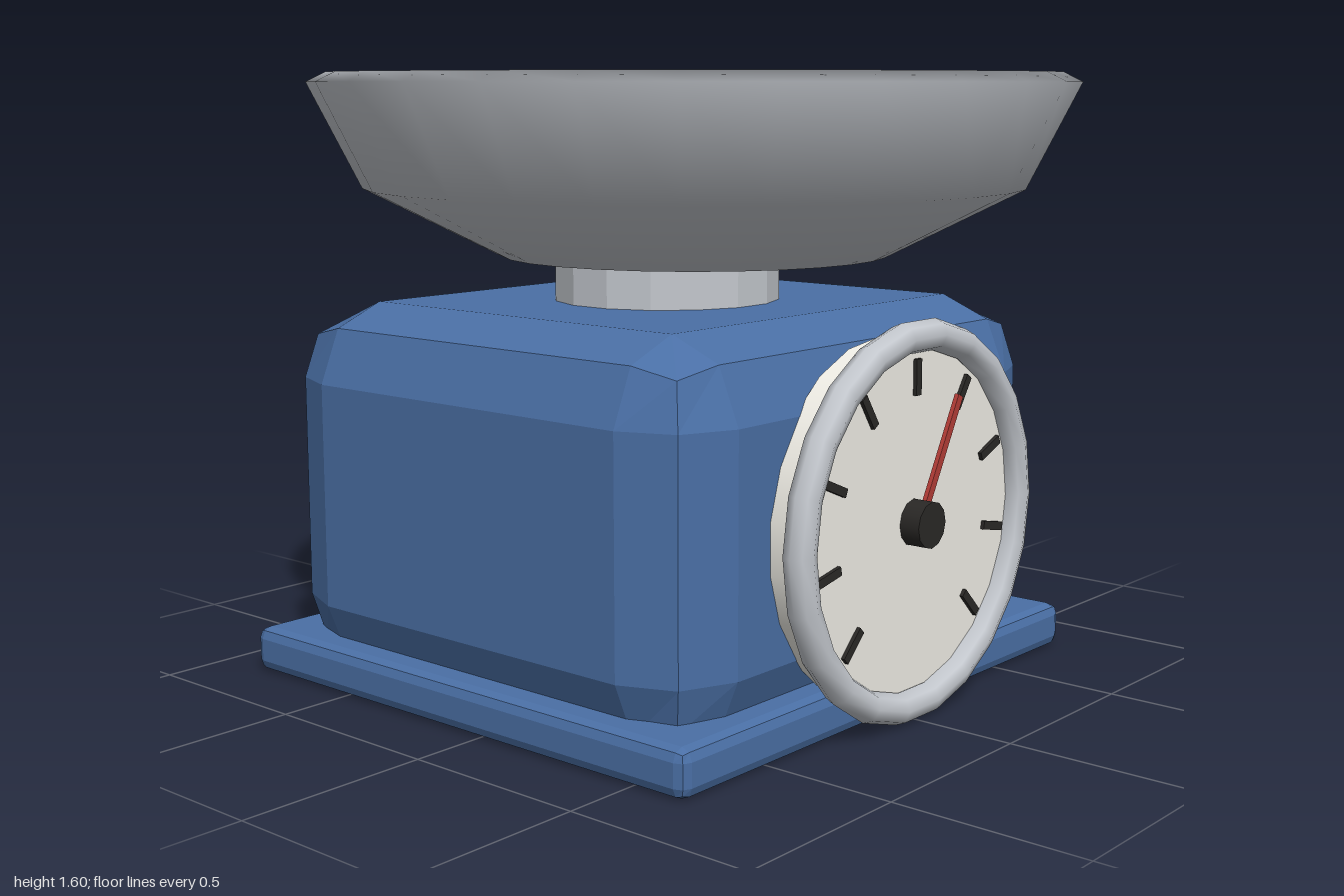
import * as THREE from 'three';
import { RoundedBoxGeometry } from 'three/addons/geometries/RoundedBoxGeometry.js';

const paint = (color, options = {}) => {
  const material = new THREE.MeshStandardMaterial(options);
  material.color.set(color);
  return material;
};

const BLUE = paint(0x4a6fa5, { flatShading: true });
const STEEL = paint(0xc4c8ce);
const CREAM = paint(0xf0eee6);
const DARK = paint(0x2a2826);
const RED = paint(0xb23c36);

function add(parent, name, geometry, material, x = 0, y = 0, z = 0) {
  const mesh = new THREE.Mesh(geometry, material);
  mesh.name = name;
  mesh.position.set(x, y, z);
  parent.add(mesh);
  return mesh;
}

// Cylinder whose axis points to the front
const disc = (radius, depth, sides) =>
  new THREE.CylinderGeometry(radius, radius, depth, sides).rotateX(Math.PI / 2);

// Bar on the dial, turned clockwise from the top, spanning two radii
function dialBar(dial, name, angle, inner, outer, width, material, z) {
  const bar = new THREE.BoxGeometry(width, outer - inner, 0.012);
  bar.translate(0, (inner + outer) / 2, 0);
  add(dial, name, bar, material, 0, 0, z).rotation.z = -angle;
}

export function createModel() {
  const scale = new THREE.Group();
  scale.name = 'kitchenScale';
  const midZ = -0.1;

  // Base plate and chamfered housing
  add(scale, 'basePlate', new RoundedBoxGeometry(1.63, 0.12, 1.53, 1, 0.03), BLUE, 0, 0.06, midZ);
  add(scale, 'housing', new RoundedBoxGeometry(1.53, 0.99, 1.43, 1, 0.2), BLUE, 0, 0.505, midZ);

  // Post that carries the bowl
  const post = new THREE.CylinderGeometry(0.304, 0.304, 0.18, 16).rotateY(Math.PI / 16);
  add(scale, 'post', post, paint(0xc4c8ce, { flatShading: true }), 0, 1.06, midZ);

  // Bowl with wall thickness: outside, rim, sloping inside
  const profile = [
    [0, 1.125], [0.51, 1.125], [0.865, 1.305], [1.0, 1.575], [0.95, 1.6],
    [0.81, 1.34], [0.48, 1.175], [0, 1.16],
  ].map(([r, y]) => new THREE.Vector2(r, y));
  add(scale, 'bowl', new THREE.LatheGeometry(profile, 28),
    paint(0xc4c8ce, { side: THREE.DoubleSide }));

  // Dial on the front
  const dial = new THREE.Group();
  dial.name = 'dial';
  dial.position.set(0, 0.502, 0);
  scale.add(dial);
  add(dial, 'dialFace', disc(0.452, 0.11, 22), CREAM, 0, 0, 0.655);
  add(dial, 'dialRing', new THREE.TorusGeometry(0.466, 0.04, 8, 22), STEEL, 0, 0, 0.715);
  add(dial, 'hub', disc(0.059, 0.06, 12), DARK, 0, 0, 0.735);

  // Nine ticks over three quarters of a turn, and the needle
  for (let i = -4; i <= 4; i++) {
    dialBar(dial, 'tick', (i * Math.PI * 3) / 16, 0.317, 0.407, 0.022, DARK, 0.714);
  }
  dialBar(dial, 'needle', 0.5, 0, 0.34, 0.022, RED, 0.73);

  return scale;
}
